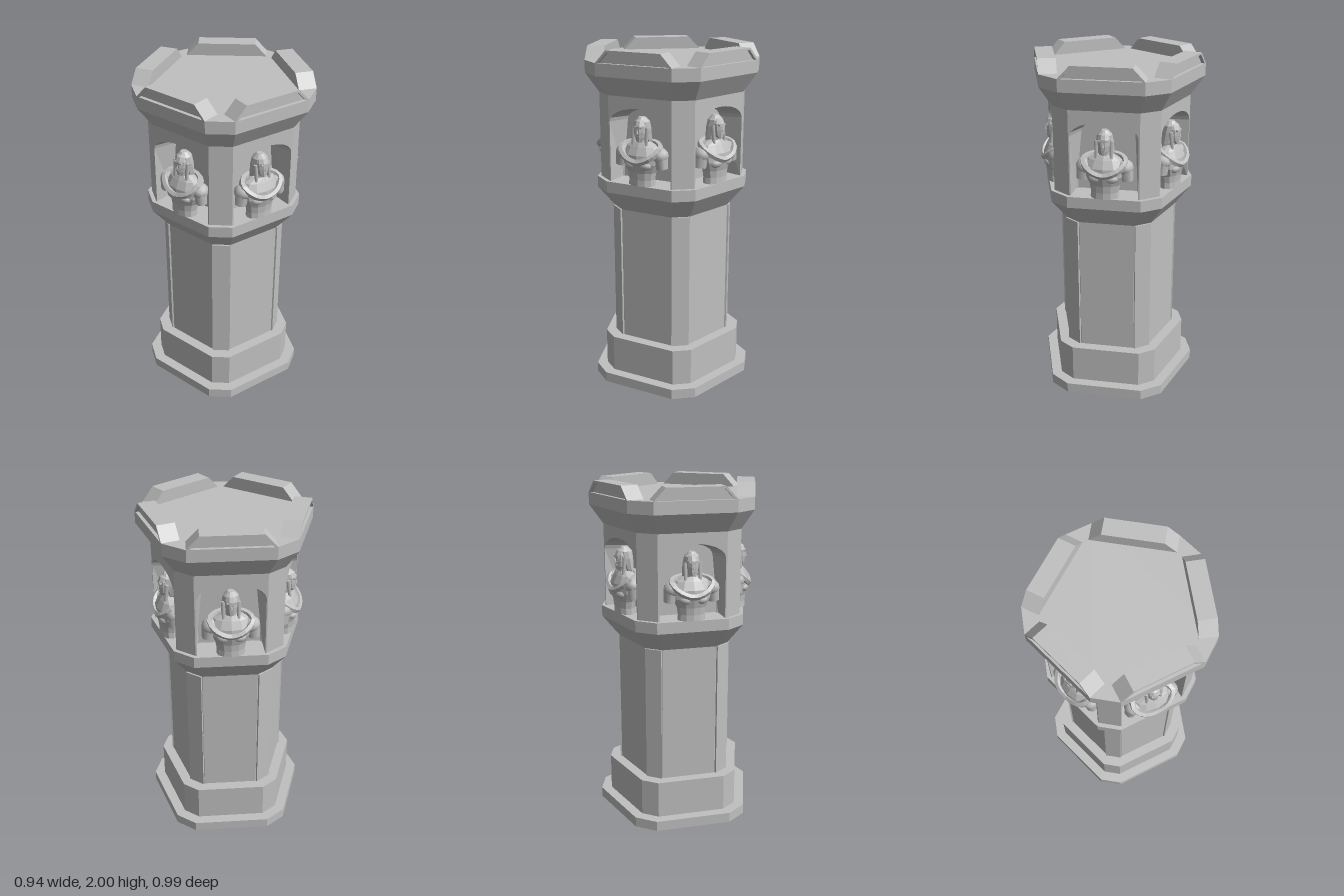
import * as THREE from 'three';

const stone = new THREE.MeshStandardMaterial({ color: 0xc0c0c0, side: THREE.DoubleSide });
stone.name = 'grey stone';

const STEP = (Math.PI * 2) / 5;

function part(name, geometry, parent, x = 0, y = 0, z = 0) {
  const mesh = new THREE.Mesh(geometry, stone);
  mesh.name = name;
  mesh.position.set(x, y, z);
  parent.add(mesh);
  return mesh;
}

// Flat-shaded skin through a list of cross-sections with equal point counts
function loft(rings, { closed = true, capStart = false, capEnd = false } = {}) {
  const n = rings[0].length, pos = [], index = [];
  rings.forEach(r => r.forEach(p => pos.push(...p)));
  for (let i = 0; i < rings.length - 1; i++)
    for (let j = 0; j < (closed ? n : n - 1); j++) {
      const k = (j + 1) % n, a = i * n + j, b = i * n + k, c = a + n, d = b + n;
      index.push(a, c, b, b, c, d);
    }
  const fan = (o, flip) => {
    for (let j = 1; j < n - 1; j++) index.push(o, o + (flip ? j + 1 : j), o + (flip ? j : j + 1));
  };
  if (capStart) fan(0, false);
  if (capEnd) fan((rings.length - 1) * n, true);
  const g = new THREE.BufferGeometry();
  g.setAttribute('position', new THREE.Float32BufferAttribute(pos, 3));
  g.setIndex(index);
  const flat = g.toNonIndexed();
  flat.computeVertexNormals();
  return flat;
}

// Pentagon with cut corners: apothem and half width of the wide faces
function plan(y, apothem, half) {
  const pts = [], r = Math.hypot(apothem, half), t = Math.atan2(half, apothem);
  for (let k = 0; k < 5; k++)
    for (const s of [-1, 1]) {
      const a = k * STEP + s * t;
      pts.push([r * Math.cos(a), y, r * Math.sin(a)]);
    }
  return pts;
}

const tower = (levels, options) => loft(levels.map(l => plan(...l)), options);

// Elliptic cross-section
function oval(y, w, d, z = 0, n = 12) {
  return Array.from({ length: n }, (_, i) => {
    const a = (i / n) * Math.PI * 2;
    return [w * Math.cos(a), y, z + d * Math.sin(a)];
  });
}

const ovals = list => loft(list.map(o => oval(...o)), { capStart: true, capEnd: true });

// Arched outline of a niche at depth z
function arch(bottom, half, spring, top, z) {
  const pts = [[-bottom, 1.265, z]];
  for (let i = 0; i <= 12; i++) {
    const a = Math.PI * (1 - i / 12);
    pts.push([half * Math.cos(a), spring + (top - spring) * Math.sin(a), z]);
  }
  pts.push([bottom, 1.265, z]);
  return pts;
}

const shape = pts => new THREE.Shape(pts.map(p => new THREE.Vector2(p[0], p[1])));
const extrude = (pts, depth) => new THREE.ExtrudeGeometry(shape(pts), { depth, bevelEnabled: false });

// Armless bust with cloak and long hair, standing on the ledge
function makeBust() {
  const bust = new THREE.Group();
  bust.name = 'bust';
  part('torso', ovals([
    [1.265, 0.08, 0.055], [1.3, 0.078, 0.054], [1.34, 0.085, 0.058], [1.39, 0.108, 0.068, 0.004],
    [1.44, 0.118, 0.068], [1.485, 0.095, 0.052, -0.006], [1.51, 0.045, 0.038, -0.006],
  ]), bust);
  part('neck', ovals([[1.49, 0.033, 0.032], [1.55, 0.028, 0.03, 0.004]]), bust);
  part('head', ovals([
    [1.518, 0.015, 0.016, 0.03, 10], [1.535, 0.029, 0.03, 0.018, 10], [1.565, 0.037, 0.042, 0.01, 10],
    [1.6, 0.039, 0.046, 0.006, 10], [1.625, 0.032, 0.038, 0.002, 10], [1.64, 0.013, 0.016, 0, 10],
  ]), bust);
  part('hair', ovals([
    [1.47, 0.046, 0.022, -0.035, 10], [1.52, 0.05, 0.032, -0.022, 10], [1.58, 0.049, 0.042, -0.012, 10],
    [1.62, 0.042, 0.043, -0.006, 10], [1.645, 0.018, 0.02, -0.004, 10],
  ]), bust);
  part('nose', new THREE.ConeGeometry(0.008, 0.03, 4), bust, 0, 1.574, 0.052);
  part('brow', new THREE.BoxGeometry(0.052, 0.008, 0.012), bust, 0, 1.594, 0.045);
  part('mouth', new THREE.BoxGeometry(0.022, 0.005, 0.01), bust, 0, 1.546, 0.046);

  // Cloak collar dipping at the chest
  const collar = new THREE.CatmullRomCurve3([
    [0, 1.405, 0.07], [0.075, 1.43, 0.062], [0.118, 1.475, 0.015], [0.07, 1.495, -0.045],
    [-0.07, 1.495, -0.045], [-0.118, 1.475, 0.015], [-0.075, 1.43, 0.062],
  ].map(p => new THREE.Vector3(...p)), true);
  part('cloakCollar', new THREE.TubeGeometry(collar, 24, 0.018, 5, true).toNonIndexed(), bust)
    .geometry.computeVertexNormals();

  for (const s of [-1, 1]) {
    const shoulder = part('shoulder', new THREE.IcosahedronGeometry(0.05, 1), bust, s * 0.112, 1.44, 0);
    shoulder.scale.set(0.95, 0.9, 1);
    const arm = part('upperArm', new THREE.CylinderGeometry(0.04, 0.033, 0.075, 7), bust, s * 0.122, 1.405, 0.004);
    arm.rotation.z = s * 0.12;
    const lock = part('hairLock', new THREE.CylinderGeometry(0.013, 0.008, 0.12, 5), bust, s * 0.041, 1.53, 0.022);
    lock.rotation.x = -0.12;
    part('chest', new THREE.IcosahedronGeometry(0.04, 1), bust, s * 0.042, 1.385, 0.04).scale.set(1, 0.7, 0.8);
  }
  return bust;
}

// One of the five sides, facing local +z
function makeSide() {
  const side = new THREE.Group();
  side.name = 'towerSide';
  const front = arch(0.188, 0.188, 1.605, 1.69, 0.375);

  // Wall around the arch, made as one notched plate
  const wall = [[-0.195, 1.265], [-0.195, 1.75], [0.195, 1.75], [0.195, 1.265], ...front.slice().reverse()];
  part('nicheWall', new THREE.ShapeGeometry(shape(wall)), side, 0, 0, 0.375);
  part('niche', loft([front, arch(0.183, 0.15, 1.6, 1.67, 0.24)], { closed: false, capEnd: true }), side);

  // Battlement with sloping ends and a sunken outer face
  part('battlementBlock', extrude([[-0.23, 1.93], [-0.163, 2], [0.163, 2], [0.23, 1.93]], 0.08), side, 0, 0, 0.345);
  part('battlementFrame', extrude([
    [-0.23, 1.93], [-0.163, 2], [0.163, 2], [0.23, 1.93],
    [0.212, 1.93], [0.156, 1.988], [-0.156, 1.988], [-0.212, 1.93],
  ], 0.02), side, 0, 0, 0.425);

  const bust = makeBust();
  bust.position.z = 0.35;
  side.add(bust);
  return side;
}

export function createModel() {
  const model = new THREE.Group();
  model.name = 'pentagonalTower';
  const body = new THREE.Group();
  body.name = 'towerBody';
  body.position.x = 0.025;
  model.add(body);

  // Hollow foot, plinth, shaft and ledge
  part('footAndShaft', tower([
    [0, 0.425, 0.223], [0.06, 0.425, 0.223], [0.06, 0.367, 0.2], [0.28, 0.367, 0.2],
    [0.28, 0.308, 0.158], [1.08, 0.308, 0.158], [1.2, 0.395, 0.205], [1.265, 0.395, 0.205],
  ], { capEnd: true }), body);

  // Flared crown with roof deck
  part('crown', tower([
    [1.75, 0.375, 0.195], [1.86, 0.445, 0.23], [1.93, 0.445, 0.23],
  ], { capEnd: true }), body);

  const low = plan(1.265, 0.375, 0.195), high = plan(1.75, 0.375, 0.195);
  for (let k = 0; k < 5; k++) {
    const side = makeSide();
    side.rotation.y = Math.PI / 2 - k * STEP;
    body.add(side);

    // Corner pier between two niches
    const i = 2 * k + 1, j = (2 * k + 2) % 10;
    part('cornerPier', loft([[low[i], low[j]], [high[i], high[j]]], { closed: false }), body);

    // Slightly raised strip on each shaft corner
    const a = (k + 0.5) * STEP, r = 0.342;
    const strip = part('shaftCornerStrip', new THREE.BoxGeometry(0.1, 0.8, 0.02), body,
      r * Math.cos(a), 0.68, r * Math.sin(a));
    strip.rotation.y = Math.PI / 2 - a;
  }
  return model;
}
